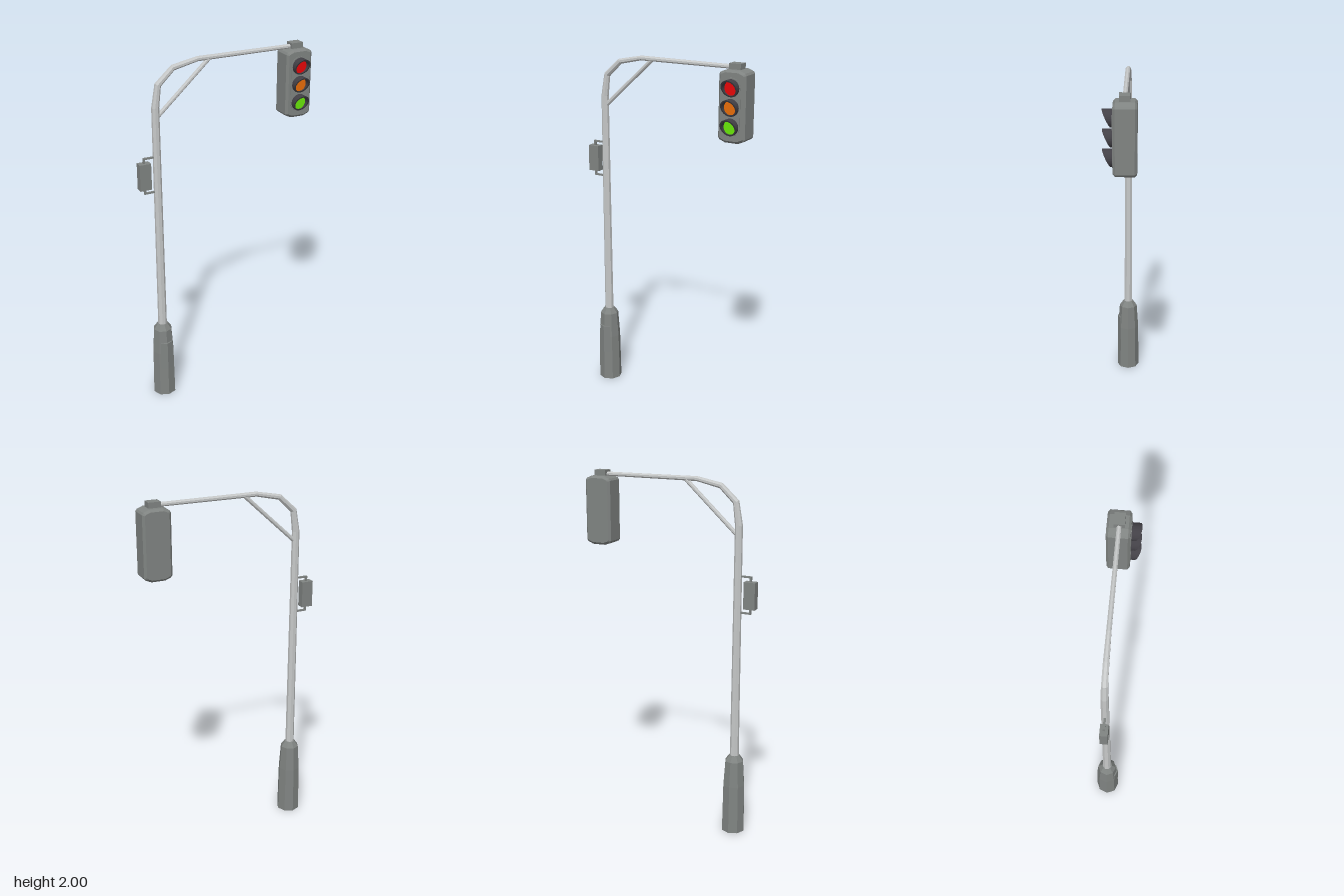
import * as THREE from 'three';

const paint = (name, color) => {
  const m = new THREE.MeshStandardMaterial({ color });
  m.name = name;
  return m;
};

export function createModel() {
  const root = new THREE.Group();
  root.name = 'trafficLight';
  const housing = paint('housing grey', 0x808482);
  const steel = paint('pole steel', 0xc6c8c8);
  const visorBlack = paint('visor black', 0x424046);
  const red = paint('red lamp', 0xe60608);
  const amber = paint('amber lamp', 0xe86c08);
  const green = paint('green lamp', 0x68e608);
  const PX = -0.4, Z = -0.0225, HX = 0.428, HY = 1.78;

  // Adds a faceted mesh
  const add = (name, geometry, material, x = 0, y = 0, z = 0, parent = root) => {
    const g = geometry.index ? geometry.toNonIndexed() : geometry;
    g.computeVertexNormals();
    const mesh = new THREE.Mesh(g, material);
    mesh.name = name;
    mesh.position.set(x, y, z);
    parent.add(mesh);
    return mesh;
  };
  const box = (name, w, h, d, mat, x, y, z, parent) =>
    add(name, new THREE.BoxGeometry(w, h, d), mat, x, y, z, parent);

  // Eight-sided tube swept along [x, y, radius] stations with mitred bends
  const sweep = (path, sides = 8) => {
    const pos = [], idx = [], n = path.length;
    path.forEach(([x, y, r], i) => {
      const a = path[Math.max(i - 1, 0)], b = path[Math.min(i + 1, n - 1)];
      const t = new THREE.Vector2(b[0] - a[0], b[1] - a[1]).normalize();
      for (let k = 0; k < sides; k++) {
        const ang = ((k + 0.5) / sides) * Math.PI * 2, c = Math.cos(ang) * r;
        pos.push(x + t.y * c, y - t.x * c, -Math.sin(ang) * r);
      }
    });
    for (let i = 0; i < n - 1; i++) for (let k = 0; k < sides; k++) {
      const a = i * sides + k, b = i * sides + (k + 1) % sides;
      idx.push(a, b, b + sides, a, b + sides, a + sides);
    }
    const end = (n - 1) * sides;
    for (let k = 1; k < sides - 1; k++) {
      idx.push(0, k + 1, k, end, end + k, end + k + 1);
    }
    const g = new THREE.BufferGeometry();
    g.setAttribute('position', new THREE.Float32BufferAttribute(pos, 3));
    g.setIndex(idx);
    return g;
  };
  const points = (list) => list.map(([x, y]) => new THREE.Vector2(x, y));

  // Octagonal base with an access door folded round its front edge
  const base = points([[0, 0], [0.067, 0], [0.063, 0.28], [0.053, 0.425], [0.03, 0.457], [0, 0.457]]);
  add('base', new THREE.LatheGeometry(base, 8), housing, PX, 0, Z);
  const door = new THREE.Shape(points([[0, 0], [-0.036, -0.051], [0, -0.066], [0.036, -0.051]]));
  const doorGeometry = new THREE.ExtrudeGeometry(door, { depth: 0.17, bevelEnabled: false });
  add('accessDoor', doorGeometry.rotateX(-Math.PI / 2), housing, PX, 0.18, Z);

  // Pole bending into the arm, and the diagonal brace
  add('poleAndArm', sweep([
    [PX, 0.44, 0.025], [PX, 1.75, 0.021], [-0.382, 1.87, 0.018], [-0.295, 1.95, 0.016],
    [-0.155, 1.979, 0.0135], [0.42, 1.979, 0.0118],
  ]), steel, 0, 0, Z);
  add('brace', sweep([[-0.395, 1.695, 0.0115], [-0.085, 1.977, 0.0115]]), steel, 0, 0, Z);

  // Control box held by two bent brackets
  box('controlBox', 0.065, 0.148, 0.043, housing, -0.475, 1.381, Z);
  for (const s of [-1, 1]) {
    const bracket = new THREE.Group();
    bracket.name = 'boxBracket';
    root.add(bracket);
    box('bracketArm', 0.075, 0.009, 0.012, housing, -0.4425, 1.381 + s * 0.099, Z, bracket);
    box('bracketPost', 0.01, 0.032, 0.012, housing, -0.475, 1.381 + s * 0.087, Z, bracket);
  }

  // Signal housing: arched ends and chamfered edges
  const corner = [[0.078, 0.166], [0.07, 0.177], [0.038, 0.19]];
  const flip = (sx, sy) => points(corner.map(([x, y]) => [x * sx, y * sy]));
  const outline = [
    ...flip(1, 1), ...flip(-1, 1).reverse(), ...flip(-1, -1), ...flip(1, -1).reverse(),
  ];
  const shell = new THREE.ExtrudeGeometry(new THREE.Shape(outline), {
    depth: 0.097, bevelThickness: 0.012, bevelSize: 0.012, bevelOffset: -0.012, bevelSegments: 1,
  });
  add('signalHousing', shell, housing, HX, HY, -0.073);
  box('hangerBlock', 0.068, 0.042, 0.056, housing, HX, 1.979, Z);

  // Raised front panel with rounded ends
  const panel = new THREE.Shape();
  panel.absarc(0, 0.1, 0.053, 0, Math.PI);
  panel.absarc(0, -0.1, 0.053, Math.PI, Math.PI * 2);
  add('frontPanel', new THREE.ExtrudeGeometry(panel, {
    depth: 0.004, bevelEnabled: false, curveSegments: 8,
  }), housing, HX, HY, 0.035);

  // Lamps, each with a hood cut back towards the bottom
  [['red', red, 1.88], ['amber', amber, 1.779], ['green', green, 1.677]].forEach(([name, mat, y]) => {
    const lamp = new THREE.CylinderGeometry(0.04, 0.04, 0.006, 16).rotateX(Math.PI / 2);
    add(name + 'Lamp', lamp, mat, HX, y, 0.039);
    const ring = new THREE.Shape().absarc(0, 0, 0.046, 0, Math.PI * 2);
    ring.holes.push(new THREE.Path().absarc(0, 0, 0.038, 0, Math.PI * 2, true));
    const hood = new THREE.ExtrudeGeometry(ring, { depth: 1, bevelEnabled: false, curveSegments: 16 });
    const p = hood.attributes.position;
    for (let i = 0; i < p.count; i++) {
      p.setZ(i, p.getZ(i) > 0.5 ? 0.068 + (p.getY(i) / 0.046) * 0.022 : 0.032);
    }
    add(name + 'Hood', hood, visorBlack, HX, y, 0);
  });

  return root;
}
